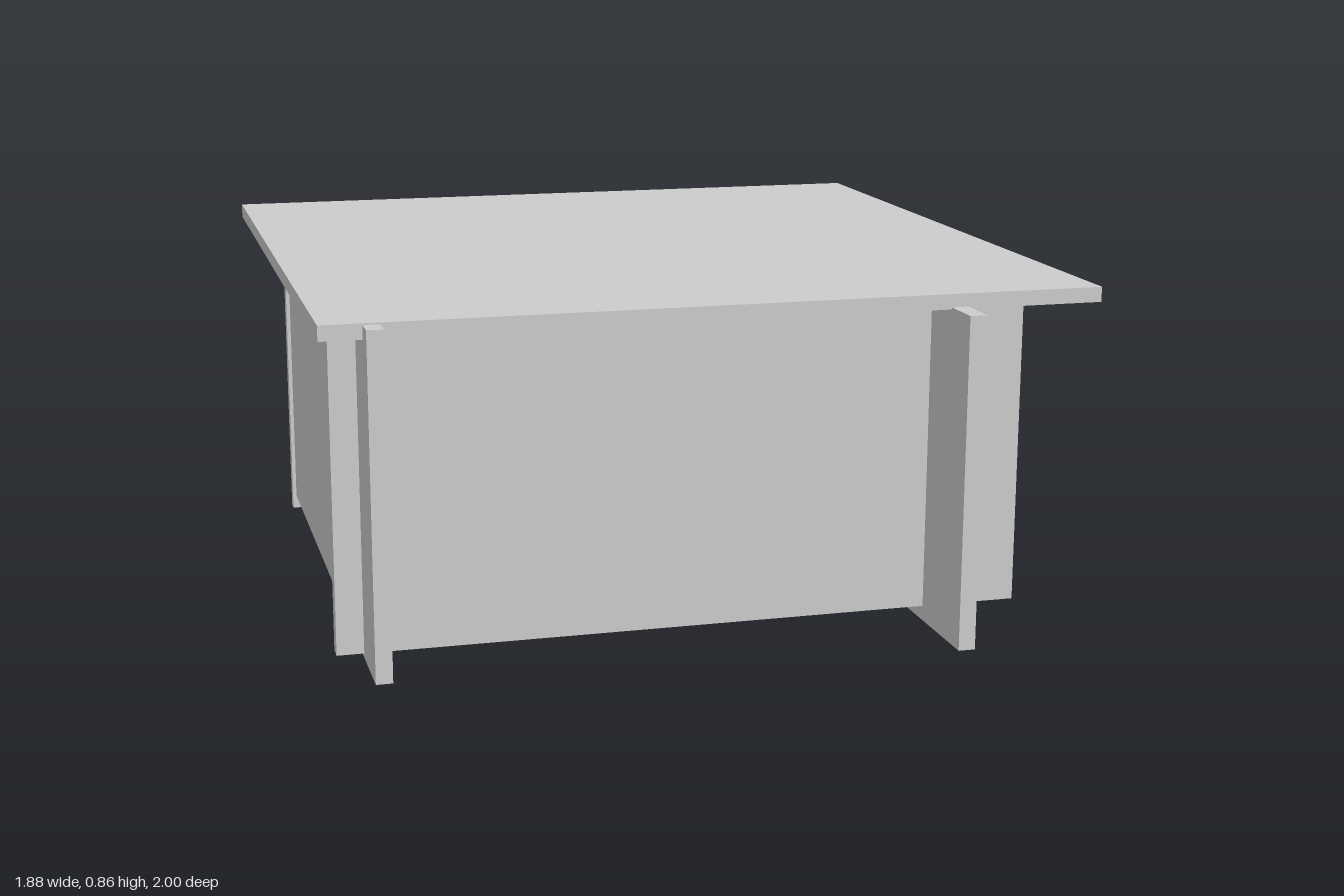
import * as THREE from 'three';

export function createModel() {
  const model = new THREE.Group();
  const material = new THREE.MeshStandardMaterial({ color: 0xcccccc, flatShading: true });

  // Box given by its extents along each axis
  function board(name, [x0, x1], [y0, y1], [z0, z1], parent = model) {
    const mesh = new THREE.Mesh(new THREE.BoxGeometry(x1 - x0, y1 - y0, z1 - z0), material);
    mesh.position.set((x0 + x1) / 2, (y0 + y1) / 2, (z0 + z1) / 2);
    mesh.name = name;
    parent.add(mesh);
  }

  // Overhanging table top
  board('tableTop', [-0.945, 0.94], [0.825, 0.862], [-1, 0.89]);

  // Four upright panels, each running past its neighbour at one end
  board('frontPanel', [-0.91, 0.795], [0.047, 0.826], [0.722, 0.764]);
  board('backPanel', [-0.855, 0.85], [0, 0.826], [-0.722, -0.684]);
  board('leftPanel', [0.555, 0.597], [0.01, 0.83], [-0.685, 1]);
  board('rightPanel', [-0.845, -0.805], [0.036, 0.858], [-0.75, 0.95]);

  // Low shelf enclosed by the panels
  board('bottomShelf', [-0.806, 0.556], [0.057, 0.095], [-0.685, 0.723]);

  // Small tray in the front corner outside the left panel
  const tray = new THREE.Group();
  tray.name = 'sideTray';
  board('trayBackRail', [0.596, 0.77], [0.057, 0.095], [0.365, 0.41], tray);
  board('trayOuterRail', [0.73, 0.77], [0.057, 0.095], [0.41, 0.723], tray);
  board('trayFloor', [0.596, 0.731], [0.068, 0.078], [0.409, 0.69], tray);
  model.add(tray);

  return model;
}
